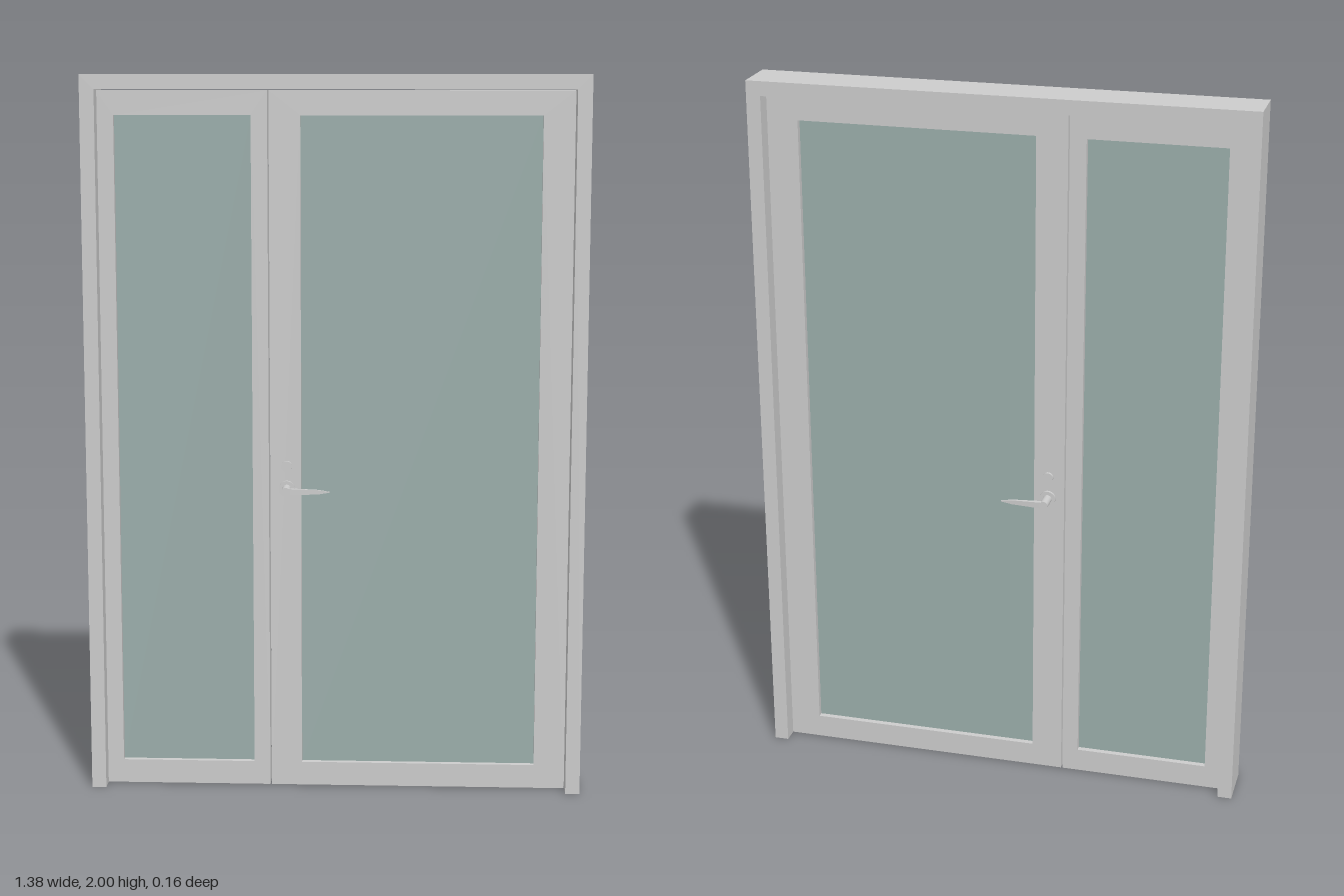
import * as THREE from 'three';

const grey = new THREE.MeshStandardMaterial({ color: 0xcccccc });
const glassMat = new THREE.MeshStandardMaterial({ color: 0x9aadaa });

const FRAME_DEPTH = 0.132, LEAF_DEPTH = 0.052, GLASS_DEPTH = 0.02;

function mesh(name, geometry, material = grey) {
  const m = new THREE.Mesh(geometry, material);
  m.name = name;
  return m;
}

const polygon = (pts) => pts.map(([x, y]) => new THREE.Vector2(x, y));
const rect = (x0, y0, x1, y1) => polygon([[x0, y0], [x1, y0], [x1, y1], [x0, y1]]);

// Flat outline given thickness, centred on z = 0
function slab(outline, depth, holes = []) {
  const shape = new THREE.Shape(outline);
  for (const h of holes) shape.holes.push(new THREE.Path(h));
  const g = new THREE.ExtrudeGeometry(shape, { depth, bevelEnabled: false });
  return g.translate(0, 0, -depth / 2);
}

// Disc facing along z, spanning z0 to z1
function disc(x, y, r, z0, z1) {
  return new THREE.CylinderGeometry(r, r, z1 - z0, 32)
    .rotateX(Math.PI / 2).translate(x, y, (z0 + z1) / 2);
}

// Door leaf: stiles and rails around one glass pane
function leaf(name, x0, x1, stile) {
  const g = new THREE.Group();
  g.name = name;
  const opening = rect(x0 + stile, 0.07, x1 - stile, 1.89);
  g.add(
    mesh('stilesAndRails', slab(rect(x0, 0.003, x1, 1.957), LEAF_DEPTH, [opening])),
    mesh('glassPane', slab(opening, GLASS_DEPTH), glassMat)
  );
  return g;
}

// Lever handle on the +z face, with its axis at the group origin
function handle(name) {
  const g = new THREE.Group();
  g.name = name;
  const face = LEAF_DEPTH / 2;
  g.add(mesh('rose', disc(0, 0, 0.022, face, face + 0.008)));
  g.add(mesh('spindle', disc(0, 0, 0.012, face, 0.082)));
  // Lever narrows in height by its outline and in thickness toward the tip
  const lever = slab(polygon([[0, -0.009], [0.09, -0.006], [0.122, -0.001],
    [0.122, 0.001], [0.09, 0.006], [0, 0.009]]), 0.013);
  lever.translate(0, 0, 0.0755);
  const p = lever.attributes.position;
  for (let i = 0; i < p.count; i++) {
    if (p.getZ(i) < 0.075) p.setZ(i, 0.069 + 0.05 * p.getX(i));
    else p.setZ(i, 0.082 - 0.025 * p.getX(i));
  }
  lever.computeVertexNormals();
  g.add(mesh('lever', lever));
  return g;
}

export function createModel() {
  const model = new THREE.Group();
  model.name = 'doubleDoor';

  // Surrounding frame, open at the floor
  model.add(mesh('doorFrame', slab(polygon([[-0.69, 0], [-0.65, 0], [-0.65, 1.96],
    [0.65, 1.96], [0.65, 0], [0.69, 0], [0.69, 2], [-0.69, 2]]), FRAME_DEPTH)));

  // Narrow and wide leaves
  model.add(leaf('narrowLeaf', -0.649, -0.185, 0.045));
  model.add(leaf('wideLeaf', -0.181, 0.648, 0.086));

  // Levers on both faces; the back one is turned about the x axis
  const front = handle('frontHandle'), back = handle('backHandle');
  back.rotation.x = Math.PI;
  for (const h of [front, back]) {
    h.position.set(-0.135, 0.862, 0);
    model.add(h);
  }

  // Lock cylinder passing through the wide leaf
  const z = LEAF_DEPTH / 2 + 0.008;
  model.add(mesh('lockCylinder', disc(-0.135, 0.925, 0.015, -z, z)));
  return model;
}
